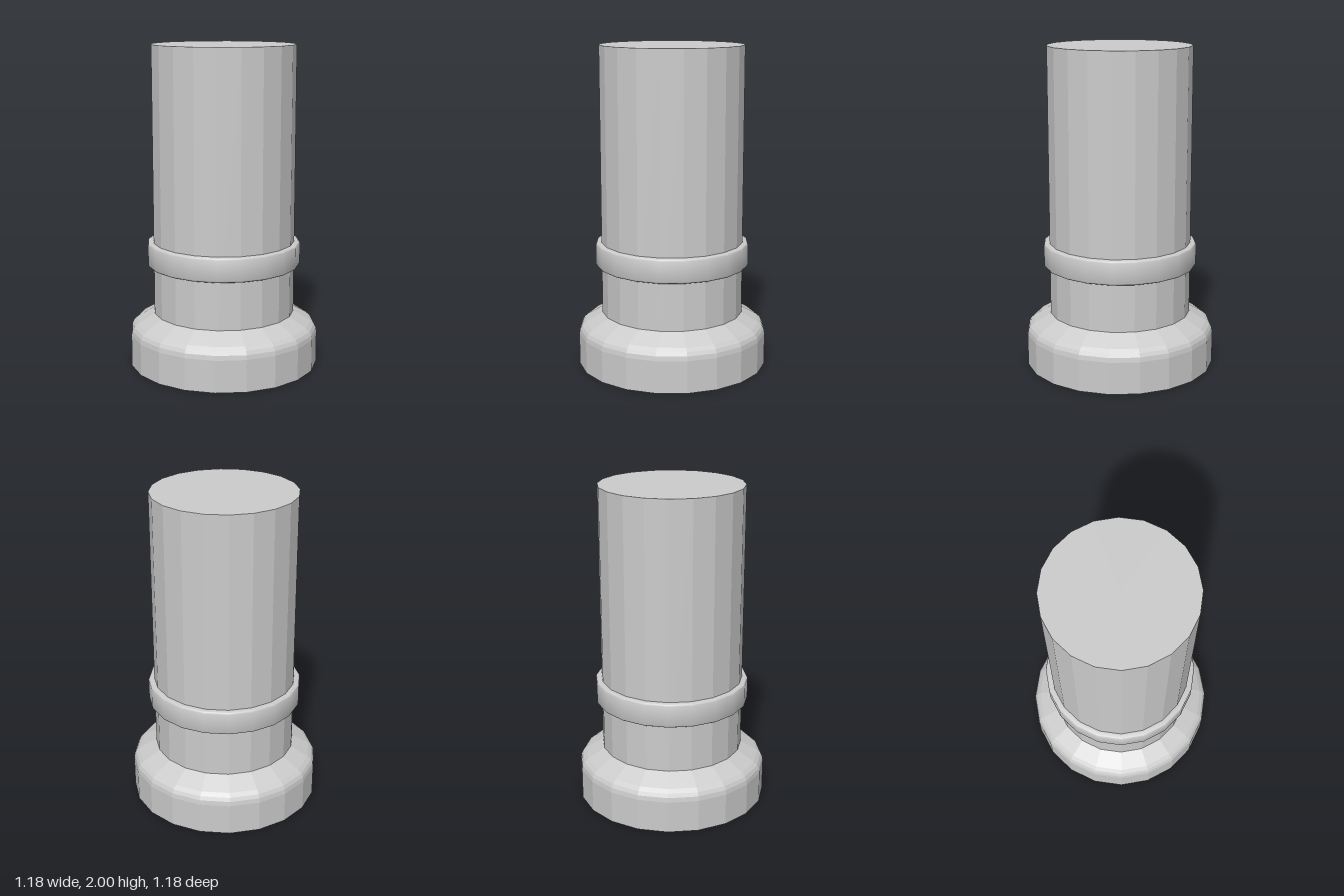
import * as THREE from 'three';
import { toCreasedNormals } from 'three/addons/utils/BufferGeometryUtils.js';

const SIDES = 20;

// Revolve a [radius, height] profile, listed from bottom to top
function lathe(profile) {
  return new THREE.LatheGeometry(profile.map(([r, y]) => new THREE.Vector2(r, y)), SIDES);
}

export function createModel() {
  const group = new THREE.Group();
  const faceted = new THREE.MeshStandardMaterial({ color: 0xcccccc, flatShading: true });
  const smooth = new THREE.MeshStandardMaterial({ color: 0xcccccc });

  const add = (name, geometry, material) => {
    const mesh = new THREE.Mesh(geometry, material);
    mesh.name = name;
    group.add(mesh);
    return mesh;
  };

  // Base: straight drum, rounded shoulder, sloping collar
  add('base', lathe([
    [0, 0], [0.592, 0], [0.592, 0.2], [0.587, 0.228], [0.575, 0.25],
    [0.552, 0.27], [0.443, 0.333], [0, 0.333],
  ]), faceted);

  // Shaft
  const shaft = add('shaft', new THREE.CylinderGeometry(0.443, 0.443, 1.67, SIDES), faceted);
  shaft.position.y = 2 - 1.67 / 2;

  // Band around the shaft with small bevels
  add('band', toCreasedNormals(lathe([
    [0.435, 0.635], [0.468, 0.635], [0.475, 0.639], [0.479, 0.648],
    [0.479, 0.772], [0.475, 0.781], [0.468, 0.785], [0.435, 0.785],
  ]), 0.65), smooth);

  return group;
}
